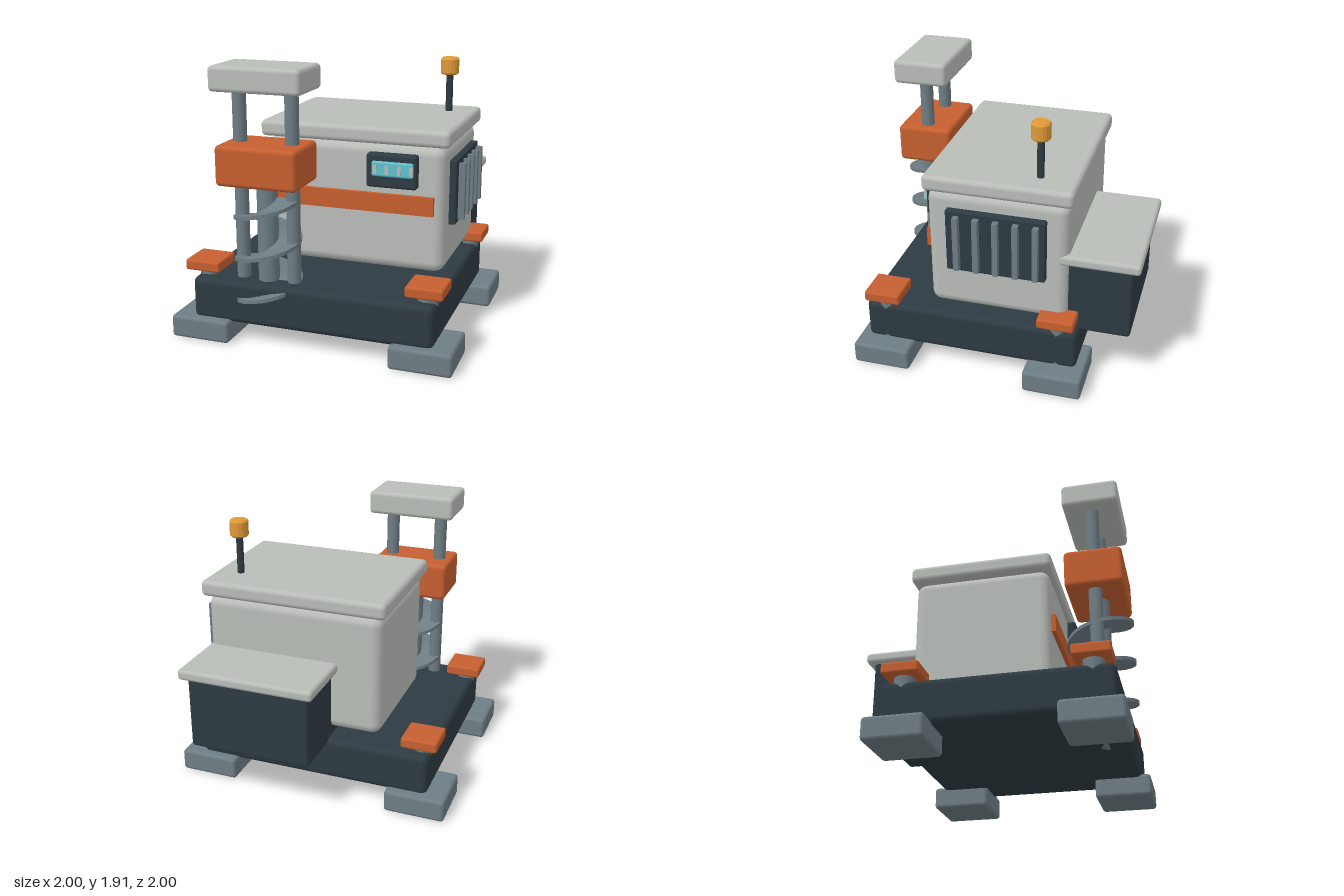
import * as THREE from 'three';
import { RoundedBoxGeometry } from 'three/addons/geometries/RoundedBoxGeometry.js';

const material = (color, extra = {}) => new THREE.MeshStandardMaterial({ color, ...extra });

// Spiral blade with a rectangular section, rising from left to front to right
function helixGeometry(inner, outer, y0, y1, turns, thickness) {
  const steps = turns * 28, pos = [], index = [];
  for (let i = 0; i <= steps; i++) {
    const a = Math.PI / 2 + (i / steps) * turns * Math.PI * 2;
    const y = y0 + (y1 - y0) * (i / steps);
    for (const [r, dy] of [[inner, -1], [outer, -1], [outer, 1], [inner, 1]])
      pos.push(Math.sin(a) * r, y + dy * thickness / 2, Math.cos(a) * r);
    if (i === steps) break;
    for (let k = 0; k < 4; k++) {
      const p = i * 4 + k, q = i * 4 + (k + 1) % 4;
      index.push(p, p + 4, q, q, p + 4, q + 4);
    }
  }
  const e = steps * 4;
  index.push(0, 1, 2, 0, 2, 3, e, e + 2, e + 1, e, e + 3, e + 2);
  const g = new THREE.BufferGeometry();
  g.setAttribute('position', new THREE.Float32BufferAttribute(pos, 3));
  g.setIndex(index);
  const flat = g.toNonIndexed();
  flat.computeVertexNormals();
  return flat;
}

export function createModel() {
  const model = new THREE.Group();
  model.name = 'drillingMachine';
  const dark = material(0x2e3b42), steel = material(0x6e7d84), pale = material(0xb9bdb8);
  const orange = material(0xc65f30), amber = material(0xe09a38), cyan = material(0x5fc0cc);

  const add = (name, geometry, mat, x = 0, y = 0, z = 0) => {
    const mesh = new THREE.Mesh(geometry, mat);
    mesh.name = name;
    mesh.position.set(x, y, z);
    model.add(mesh);
    return mesh;
  };
  // Box given by its ranges on each axis, with an optional rounded edge
  const box = (name, mat, [x0, x1], [y0, y1], [z0, z1], r = 0) => {
    const s = [x1 - x0, y1 - y0, z1 - z0];
    const g = r ? new RoundedBoxGeometry(...s, 2, r) : new THREE.BoxGeometry(...s);
    return add(name, g, mat, (x0 + x1) / 2, (y0 + y1) / 2, (z0 + z1) / 2);
  };
  // Upright cylinder
  const post = (name, mat, r, y0, y1, x, z, sides = 16) =>
    add(name, new THREE.CylinderGeometry(r, r, y1 - y0, sides), mat, x, (y0 + y1) / 2, z);

  // Chassis
  box('chassis', dark, [-0.855, 0.855], [0.145, 0.45], [-0.605, 0.915], 0.045);

  // Four stabilisers: pad, leg and cap
  for (const side of [-1, 1]) {
    for (const z of [0.77, -0.465]) {
      const x = side * 0.785;
      box('footPad', steel, [x - 0.215, x + 0.215], [0.01, 0.17], [z - 0.205, z + 0.205], 0.025);
      post('footLeg', steel, 0.07, 0.1, 0.51, x, z);
      box('footCap', orange, [x - 0.127, x + 0.127], [0.49, 0.565], [z - 0.127, z + 0.127], 0.015);
    }
  }

  // Cabin with roof and front stripe
  box('cabin', pale, [-0.485, 0.797], [0.5, 1.375], [-0.525, 0.445], 0.07);
  box('roof', pale, [-0.52, 0.83], [1.375, 1.49], [-0.555, 0.465], 0.035);
  box('stripe', orange, [-0.42, 0.73], [0.91, 1.04], [0.42, 0.475]);

  // Display on the cabin front
  box('displayFrame', dark, [0.27, 0.622], [1.09, 1.325], [0.435, 0.51], 0.02);
  box('displayScreen', cyan, [0.312, 0.602], [1.172, 1.276], [0.49, 0.53], 0.015);
  for (const x of [0.338, 0.42, 0.505, 0.59])
    box('displayBar', pale, [x - 0.012, x + 0.012], [1.19, 1.255], [0.5, 0.533]);

  // Vent with slats on the cabin side
  box('ventPanel', dark, [0.76, 0.845], [0.815, 1.265], [-0.38, 0.3], 0.01);
  for (let i = 0; i < 5; i++) {
    const z = 0.22 - i * 0.135;
    box('ventSlat', steel, [0.83, 0.89], [0.84, 1.235], [z - 0.019, z + 0.019]);
  }

  // Rear power unit
  box('rearUnit', dark, [-0.13, 0.75], [0.41, 0.96], [-0.948, -0.36], 0.025);
  box('rearLid', pale, [-0.178, 0.797], [0.935, 1.01], [-1, -0.43], 0.025);

  // Warning beacon
  post('beaconPole', dark, 0.025, 1.47, 1.78, 0.64, -0.295, 10);
  const lamp = [[0, 0], [0.055, 0], [0.066, 0.012], [0.066, 0.108], [0.055, 0.122], [0, 0.122]];
  add('beaconLamp', new THREE.LatheGeometry(lamp.map(p => new THREE.Vector2(...p)), 16),
    material(0xe09a38, { flatShading: true }), 0.64, 1.758, -0.295);

  // Drill mast: two guide rails, carriage and head
  for (const x of [-0.525, -0.15]) post('mastRail', steel, 0.047, 0.4, 1.78, x, 0.77);
  box('mastHead', pale, [-0.655, -0.015], [1.755, 1.925], [0.575, 0.967], 0.03);
  box('drillCarriage', orange, [-0.625, -0.05], [1.13, 1.405], [0.572, 0.97], 0.03);

  // Auger
  post('augerShaft', steel, 0.072, 0.15, 1.18, -0.337, 0.77);
  add('augerBlade', helixGeometry(0.06, 0.23, 0.145, 1.025, 3, 0.026), steel, -0.337, 0, 0.77);

  return model;
}
